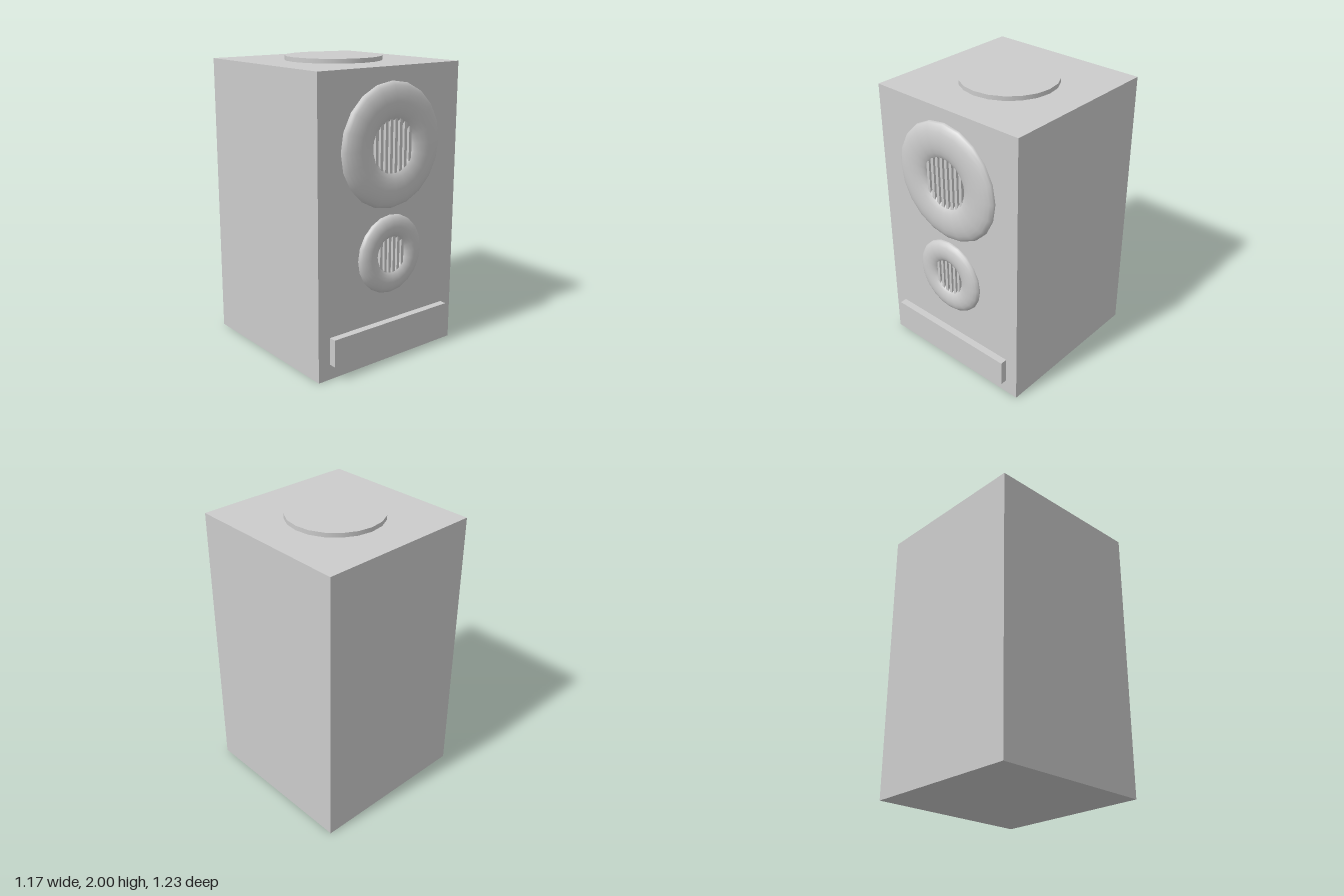
import * as THREE from 'three';

const FRONT = 0.565; // z of the cabinet's front face

export function createModel() {
  const model = new THREE.Group();
  const material = new THREE.MeshStandardMaterial({ color: 0xcccccc });

  function add(parent, name, geometry, x, y, z) {
    const mesh = new THREE.Mesh(geometry, material);
    mesh.name = name;
    mesh.position.set(x, y, z);
    parent.add(mesh);
    return mesh;
  }

  // Speaker cone: flattened ring with vertical grille bars across its opening
  function addDriver(name, y, outer, inner, height, barCount) {
    const driver = new THREE.Group();
    driver.name = name;
    driver.position.set(0, y, FRONT);
    const tube = (outer - inner) / 2;
    const ring = new THREE.TorusGeometry(inner + tube, tube, 20, 20);
    ring.scale(1, 1, height / tube);
    add(driver, 'ring', ring, 0, 0, 0);

    const reach = inner + 0.02;
    const pitch = (2 * inner) / barCount;
    for (let i = 0; i < barCount; i++) {
      const x = (i - (barCount - 1) / 2) * pitch;
      const length = 2 * Math.sqrt(reach * reach - x * x);
      add(driver, 'grilleBar', new THREE.BoxGeometry(pitch * 0.55, length, 0.05), x, 0, 0);
    }
    model.add(driver);
  }

  // Cabinet and the round cap on top
  add(model, 'cabinet', new THREE.BoxGeometry(1.17, 1.97, 1.18), 0, 0.985, -0.025);
  add(model, 'topCap', new THREE.CylinderGeometry(0.33, 0.33, 0.06, 20), 0, 1.97, -0.027);

  // Large and small drivers
  addDriver('largeDriver', 1.47, 0.41, 0.16, 0.05, 8);
  addDriver('smallDriver', 0.75, 0.267, 0.11, 0.043, 6);

  // Raised plate near the base
  add(model, 'frontPlate', new THREE.BoxGeometry(0.99, 0.185, 0.1), 0, 0.197, FRONT);

  return model;
}
